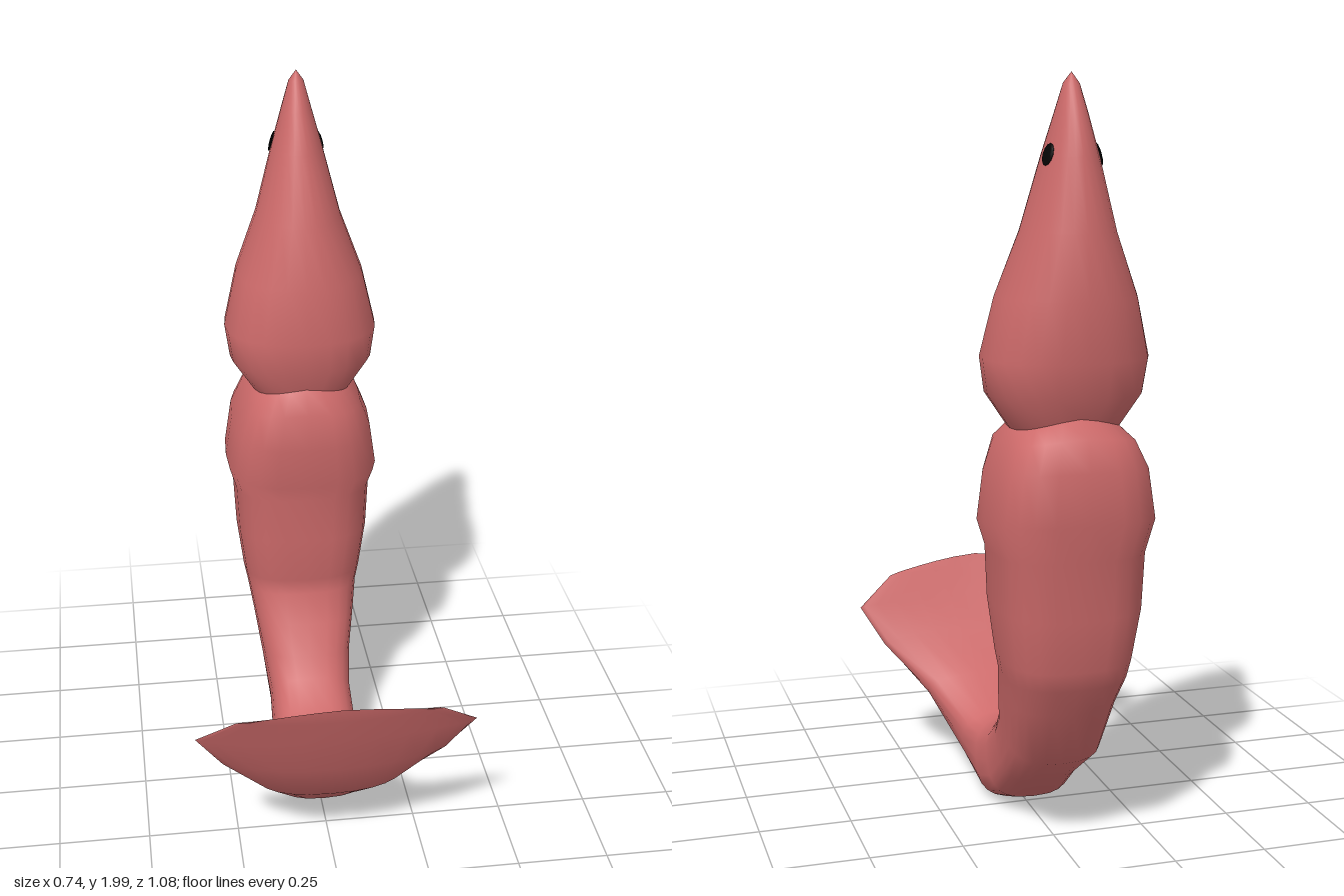
import * as THREE from 'three';

const SEGMENTS = 24;

// Each ring: front z, y, back z, y, half width, squareness, side shift z, y
const headRings = [
  [-0.37, 2.0, -0.37, 2.0, 0, 2],
  [-0.345, 1.975, -0.395, 1.97, 0.02, 2],
  [-0.305, 1.9, -0.43, 1.9, 0.04, 2],
  [-0.255, 1.8, -0.465, 1.8, 0.068, 2],
  [-0.19, 1.62, -0.5, 1.62, 0.115, 2.1],
  [-0.15, 1.46, -0.515, 1.46, 0.175, 2.2],
  [-0.135, 1.31, -0.505, 1.31, 0.21, 2.3],
  [-0.15, 1.22, -0.48, 1.22, 0.197, 2.4],
  [-0.17, 1.165, -0.455, 1.17, 0.138, 2.4, 0, -0.035],
];
const bodyRings = [
  [-0.17, 1.165, -0.455, 1.17, 0.138, 2.4, 0, -0.035],
  [-0.12, 1.11, -0.51, 1.13, 0.165, 2.9, 0, -0.02],
  [-0.12, 1.0, -0.535, 1.05, 0.195, 3],
  [-0.13, 0.88, -0.54, 0.92, 0.214, 3],
  [-0.15, 0.83, -0.51, 0.82, 0.195, 2.9],
  [-0.145, 0.7, -0.505, 0.67, 0.188, 2.9],
  [-0.165, 0.56, -0.475, 0.53, 0.17, 2.8],
  [-0.17, 0.51, -0.46, 0.48, 0.16, 2.8],
  [-0.125, 0.43, -0.41, 0.4, 0.146, 2.8],
  [-0.085, 0.35, -0.33, 0.24, 0.128, 2.8],
  [-0.04, 0.3, -0.17, 0.13, 0.117, 2.8],
  [0.035, 0.245, -0.07, 0.05, 0.12, 2.8],
  [0.09, 0.235, 0.04, 0.01, 0.128, 2.8],
  [0.145, 0.23, 0.21, 0.06, 0.14, 2.6],
  [0.3, 0.3, 0.37, 0.2, 0.2, 2.3],
  [0.41, 0.405, 0.45, 0.34, 0.31, 2, -0.02, 0],
  [0.475, 0.49, 0.495, 0.465, 0.372, 2, -0.03, 0],
  [0.52, 0.56, 0.53, 0.55, 0.27, 2, -0.02, 0],
  [0.54, 0.595, 0.54, 0.595, 0.245, 2, -0.025, -0.035],
];

// Skin a list of rings, ordered from the top down, with smooth normals
function loft(rings) {
  const positions = [], index = [];
  rings.forEach(([fz, fy, bz, by, w, n, sz = 0, sy = 0], i) => {
    for (let j = 0; j < SEGMENTS; j++) {
      const t = (j / SEGMENTS) * Math.PI * 2;
      const c = Math.cos(t), s = Math.sin(t);
      const u = Math.sign(c) * Math.abs(c) ** (2 / n);
      const v = Math.sign(s) * Math.abs(s) ** (2 / n);
      const side = Math.abs(u) ** 1.5;
      positions.push(
        w * u,
        (fy + by) / 2 + (v * (fy - by)) / 2 + sy * side,
        (fz + bz) / 2 + (v * (fz - bz)) / 2 + sz * side,
      );
      if (i === rings.length - 1) continue;
      const a = i * SEGMENTS + j, c2 = i * SEGMENTS + ((j + 1) % SEGMENTS);
      index.push(a, c2, a + SEGMENTS, c2, c2 + SEGMENTS, a + SEGMENTS);
    }
  });
  const geometry = new THREE.BufferGeometry();
  geometry.setAttribute('position', new THREE.Float32BufferAttribute(positions, 3));
  geometry.setIndex(index);
  geometry.computeVertexNormals();
  return geometry;
}

export function createModel() {
  const group = new THREE.Group();
  const skin = new THREE.MeshStandardMaterial({ color: 0xcd6a6a });
  skin.name = 'coralSkin';
  const black = new THREE.MeshStandardMaterial({ color: 0x050505 });
  black.name = 'eyeBlack';

  const add = (name, geometry, material) => {
    const mesh = new THREE.Mesh(geometry, material);
    mesh.name = name;
    group.add(mesh);
    return mesh;
  };

  // Pointed head, then the segmented body curling forward into the tail fan
  add('head', loft(headRings), skin);
  add('bodyAndTailFan', loft(bodyRings), skin);

  // Small flat eyes lying on the sides of the head
  for (const side of [1, -1]) {
    const eye = add(side > 0 ? 'leftEye' : 'rightEye', new THREE.SphereGeometry(1, 10, 6), black);
    eye.scale.set(0.005, 0.028, 0.025);
    eye.position.set(side * 0.065, 1.805, -0.39);
    eye.rotation.set(0, side * 0.2, side * 0.27);
  }
  return group;
}
